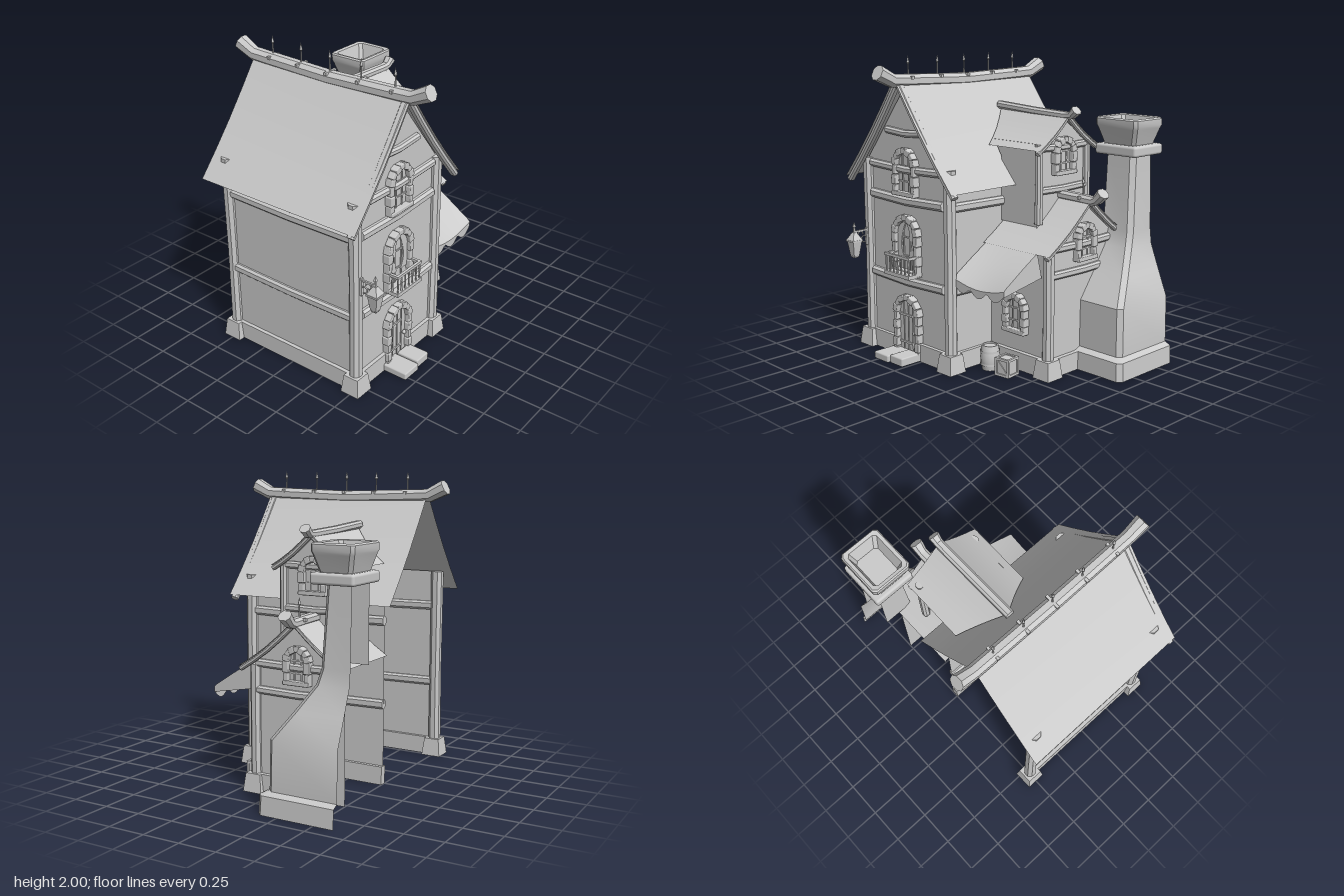
import * as THREE from 'three';
import { toCreasedNormals } from 'three/addons/utils/BufferGeometryUtils.js';
import { RoundedBoxGeometry } from 'three/addons/geometries/RoundedBoxGeometry.js';

const mat = new THREE.MeshStandardMaterial({ color: 0xcccccc, side: THREE.DoubleSide });
const V = (x, y, z) => new THREE.Vector3(x, y, z);
const RX = -0.385, WZ = -0.18; // main ridge x, wing ridge z

function add(parent, name, geo, x = 0, y = 0, z = 0) {
  const m = new THREE.Mesh(geo, mat);
  m.name = name;
  m.position.set(x, y, z);
  parent.add(m);
  return m;
}
const box = (p, name, w, h, d, x, y, z) => add(p, name, new THREE.BoxGeometry(w, h, d), x, y, z);

// Skin a row of equal cross-sections
function loft(rings, closed = true, caps = closed) {
  const pos = [], n = rings[0].length;
  const tri = (...v) => v.forEach(p => pos.push(p.x, p.y, p.z));
  for (let i = 0; i < rings.length - 1; i++)
    for (let j = 0; j < (closed ? n : n - 1); j++) {
      const a = rings[i][j], b = rings[i][(j + 1) % n], c = rings[i + 1][(j + 1) % n], d = rings[i + 1][j];
      tri(a, b, c); tri(a, c, d);
    }
  if (caps) for (let j = 1; j < n - 1; j++) {
    const s = rings[0], e = rings[rings.length - 1];
    tri(s[0], s[j + 1], s[j]); tri(e[0], e[j], e[j + 1]);
  }
  const g = new THREE.BufferGeometry();
  g.setAttribute('position', new THREE.Float32BufferAttribute(pos, 3));
  return toCreasedNormals(g, 0.6);
}

// Chamfered beam along points; w is measured along `side`, h across it
function sweep(pts, w, h, side = [0, 0, 1], scale = () => 1) {
  const P = pts.map(p => V(...p)), S = V(...side), c = 0.28 * Math.min(w, h), a = w / 2, b = h / 2;
  const sec = [[a, b - c], [a - c, b], [c - a, b], [-a, b - c], [-a, c - b], [c - a, -b], [a - c, -b], [a, c - b]];
  return loft(P.map((p, i) => {
    const T = P[Math.min(i + 1, P.length - 1)].clone().sub(P[Math.max(i - 1, 0)]).normalize();
    const N = S.clone().cross(T).normalize(), k = scale(i);
    return sec.map(([u, v]) => p.clone().addScaledVector(S, u * k).addScaledVector(N, v * k));
  }));
}

function wall(parent, name, pts, x, y, z, ry = 0) {
  const s = new THREE.Shape(pts.map(p => new THREE.Vector2(...p)));
  add(parent, name, new THREE.ShapeGeometry(s), x, y, z).rotation.y = ry;
}

// Slightly hollow roof slope, as [offset, y] from ridge to eave
const slope = (half, top, eave, sag) => [0, 0.25, 0.5, 0.75, 1].map(t =>
  [half * t, top + (eave - top) * t - sag * Math.sin(Math.PI * t)]);

function post(parent, name, x, z, y0, y1, w, base) {
  add(parent, name, sweep([[x, y0, z], [x + 0.004, (y0 + y1) / 2, z], [x, y1, z]], w, w, [0, 0, 1], i => i === 1 ? 0.94 : 1));
  if (base) {
    const g = new THREE.CylinderGeometry(0.075, 0.095, 0.12, 4, 1).rotateY(Math.PI / 4);
    add(parent, name + 'Base', toCreasedNormals(g, 0.5), x, 0.06, z);
  }
}

function finial(parent, x, y, z, ry = 0) {
  const g = new THREE.Group();
  g.name = 'finial'; g.position.set(x, y, z); g.rotation.y = ry;
  add(g, 'rod', new THREE.CylinderGeometry(0.004, 0.006, 0.11, 6), 0, 0.05, 0);
  add(g, 'spearHead', new THREE.CylinderGeometry(0, 0.012, 0.045, 4), 0, 0.12, 0);
  add(g, 'spearFoot', new THREE.CylinderGeometry(0.012, 0, 0.015, 4), 0, 0.09, 0);
  box(g, 'clamp', 0.1, 0.02, 0.018, 0, 0.005, 0);
  parent.add(g);
}

function archShape(w, h) {
  const s = new THREE.Shape();
  s.moveTo(-w, 0).lineTo(w, 0).lineTo(w, h - w).absarc(0, h - w, w, 0, Math.PI, false).lineTo(-w, 0);
  return s;
}

// Arched opening facing +z: stone surround, panel, bars and sill
function arch(parent, name, W, H, x, y, z, ry = 0, door = false) {
  const g = new THREE.Group(), t = 0.036, jamb = H - W, r = W - t / 2, n = Math.ceil(jamb / 0.075);
  g.name = name; g.position.set(x, y, z); g.rotation.y = ry;
  const stone = (l, px, py, rz, i) => {
    const m = add(g, 'surroundStone', new RoundedBoxGeometry(t + (i % 2) * 0.008, l * 0.96, 0.045 + (i % 2) * 0.008, 1, 0.006), px, py, 0.02);
    m.rotation.z = rz;
  };
  for (const s of [-1, 1]) for (let i = 0; i < n; i++) stone(jamb / n, s * r, (i + 0.5) * jamb / n, 0, i);
  for (let i = 0; i < 7; i++) {
    const a = (i + 0.5) * Math.PI / 7;
    stone(Math.PI * r / 7 + 0.006, r * Math.cos(a), jamb + r * Math.sin(a), a, i + 1);
  }
  add(g, door ? 'doorLeaf' : 'windowPane', new THREE.ExtrudeGeometry(archShape(W - t, H - t), { depth: 0.012, bevelEnabled: false, curveSegments: 10 }));
  const top = u => jamb + Math.sqrt(Math.max(0, (W - t) ** 2 - u * u));
  const cols = door ? [-0.045, 0, 0.045] : [-W * 0.27, W * 0.27];
  for (const u of cols) box(g, door ? 'plankEdge' : 'glazingBar', door ? 0.004 : 0.01, top(u), 0.01, u, top(u) / 2, 0.014);
  if (door) {
    for (const v of [0.1, 0.29]) box(g, 'hingeStrap', 0.13, 0.014, 0.008, -0.02, v, 0.018);
    add(g, 'doorKnob', new THREE.SphereGeometry(0.014, 10, 8), 0.068, 0.18, 0.025);
  } else {
    for (const v of [0.3, 0.62]) box(g, 'glazingBar', 2 * (W - t), 0.01, 0.01, 0, H * v, 0.014);
    add(g, 'sill', new RoundedBoxGeometry(2 * W, 0.028, 0.055, 1, 0.006), 0, 0.012, 0.024);
  }
  parent.add(g);
  return g;
}

export function createModel() {
  const model = new THREE.Group();
  const group = name => { const g = new THREE.Group(); g.name = name; model.add(g); return g; };

  // Main house, open at the back
  const house = group('mainHouse');
  wall(house, 'frontWall', [[-0.8, 0], [0.03, 0], [0.03, 1.3], [RX, 1.82], [-0.8, 1.3]], 0, 0, 0.5);
  for (const x of [-0.79, 0.02]) {
    wall(house, 'sideWall', [[-0.5, 0], [0.5, 0], [0.5, 1.31], [-0.5, 1.31]], x, 0, 0, Math.PI / 2);
    for (const y of [0.53, 1.07]) add(house, 'sideBeam', sweep([[x, y, -0.5], [x, y - 0.008, 0], [x, y, 0.5]], 0.05, 0.06, [1, 0, 0]));
    box(house, 'sidePlinth', 0.05, 0.12, 1, x, 0.06, 0);
    post(house, 'cornerPost', x, 0.5, 0, 1.31, 0.078, true);
  }
  post(house, 'cornerPost', -0.79, -0.5, 0, 1.31, 0.078, true);
  for (const s of [-1, 1]) box(house, 'frontPlinth', 0.27, 0.12, 0.05, RX + s * 0.265, 0.06, 0.5);
  for (const [y, half, h] of [[0.53, 0.36, 0.06], [1.07, 0.36, 0.06], [1.275, 0.36, 0.05], [1.51, 0.19, 0.045]])
    add(house, 'frontBeam', sweep([[RX - half, y + 0.005, 0.505], [RX, y - 0.008, 0.505], [RX + half, y + 0.005, 0.505]], 0.055, h));

  // Main roof, bargeboards, ridge and finials
  const main = slope(0.535, 1.86, 1.18, 0.022);
  for (const s of [-1, 1]) {
    add(house, 'roofSlope', loft([-0.6, 0.6].map(z => main.map(([o, y]) => V(RX + s * o, y, z))), false));
    add(house, 'bargeboard', sweep(main.map(([o, y]) => [RX + s * o * 0.985, y - 0.025, 0.565]), 0.05, 0.04));
  }
  add(house, 'ridgeLog', sweep([[RX, 1.9, -0.725], [RX, 1.845, -0.61], [RX, 1.84, -0.5], [RX, 1.825, 0], [RX, 1.84, 0.5], [RX, 1.845, 0.61], [RX, 1.9, 0.725]],
    0.085, 0.085, [1, 0, 0], i => i % 6 ? 1 : 1.12));
  for (const z of [0.48, 0.235, 0, -0.225, -0.455]) finial(house, RX, 1.855, z);

  // Front openings
  arch(house, 'atticWindow', 0.112, 0.31, RX, 1.1, 0.5);
  const mid = arch(house, 'balconyWindow', 0.127, 0.39, RX, 0.58, 0.5);
  for (const s of [-1, 1]) {
    const c = new THREE.Shape();
    c.moveTo(s * 0.085, 0.1).lineTo(s * 0.02, 0.1).quadraticCurveTo(s * 0.055, 0.17, s * 0.05, 0.2)
      .quadraticCurveTo(s * 0.035, 0.3, 0, 0.345).quadraticCurveTo(s * 0.08, 0.34, s * 0.088, 0.26).lineTo(s * 0.085, 0.1);
    add(mid, 'curtain', new THREE.ExtrudeGeometry(c, { depth: 0.012, bevelEnabled: false }), 0, 0, 0.01);
  }
  const balcony = group('balcony');
  box(balcony, 'balconyFloor', 0.25, 0.025, 0.11, RX, 0.585, 0.555);
  box(balcony, 'frontRail', 0.25, 0.018, 0.018, RX, 0.71, 0.6);
  for (let i = 0; i < 7; i++) add(balcony, 'baluster', new THREE.CylinderGeometry(0.006, 0.006, 0.12, 6), RX - 0.114 + i * 0.038, 0.65, 0.6);
  for (const s of [-1, 1]) {
    box(balcony, 'sideRail', 0.018, 0.018, 0.1, RX + s * 0.116, 0.71, 0.55);
    add(balcony, 'baluster', new THREE.CylinderGeometry(0.006, 0.006, 0.12, 6), RX + s * 0.114, 0.65, 0.56);
  }
  arch(house, 'frontDoor', 0.127, 0.43, RX, 0, 0.5, 0, true);
  add(house, 'doorStep', new RoundedBoxGeometry(0.145, 0.05, 0.19, 1, 0.01), -0.462, 0.025, 0.6);
  add(house, 'doorStep', new RoundedBoxGeometry(0.125, 0.058, 0.16, 1, 0.01), -0.322, 0.029, 0.6);

  // Gabled side parts: the lower wing and the dormer above it
  const mainRoofX = y => RX + (1.86 - y) / 1.27;
  const gable = (g, front, back, inner, edge, wallX) => {
    [[1, front], [-1, back]].forEach(([s, prof]) => {
      const row = f => prof.map(([o, y]) => V(f(y), y, WZ + s * o));
      add(g, 'roofSlope', loft([row(inner), row(() => edge)], false));
      add(g, 'bargeboard', sweep(prof.map(([o, y]) => [edge - 0.025, y - 0.02, WZ + s * o * 0.985]), 0.035, 0.03, [1, 0, 0]));
    });
  };
  const wing = group('sideWing');
  gable(wing, slope(0.4, 1.12, 0.81, 0.02), slope(0.345, 1.12, 0.85, 0.015), () => 0.03, 0.605);
  wall(wing, 'endWall', [[-0.14, 0], [0.5, 0], [0.5, 0.83], [-WZ, 1.09], [-0.14, 0.83]], 0.53, 0, 0, Math.PI / 2);
  wall(wing, 'frontWall', [[0.02, 0], [0.53, 0], [0.53, 0.85], [0.02, 0.85]], 0, 0, 0.14);
  box(wing, 'frontPlinth', 0.5, 0.12, 0.04, 0.28, 0.06, 0.15);
  box(wing, 'endPlinth', 0.04, 0.12, 0.4, 0.54, 0.06, -0.06);
  post(wing, 'cornerPost', 0.525, 0.135, 0, 0.82, 0.072, true);
  for (const y of [0.66, 0.83]) add(wing, 'endBeam', sweep([[0.535, y, 0.12], [0.535, y - 0.006, WZ], [0.535, y, -0.45]], 0.045, 0.05, [1, 0, 0]));
  add(wing, 'ridgeLog', sweep([[0.3, 1.115, WZ], [0.5, 1.11, WZ], [0.61, 1.105, WZ], [0.64, 1.115, WZ], [0.69, 1.165, WZ]], 0.07, 0.06, [0, 0, 1], i => i === 4 ? 1.2 : 1));
  finial(wing, 0.525, 1.115, WZ, Math.PI / 2);
  arch(wing, 'wingEndWindow', 0.093, 0.24, 0.53, 0.72, WZ, Math.PI / 2);
  arch(wing, 'wingFrontWindow', 0.1, 0.26, 0.26, 0.245, 0.14);

  const dormer = group('dormer');
  const dp = slope(0.28, 1.64, 1.425, 0.015);
  gable(dormer, dp, dp, mainRoofX, 0.41);
  wall(dormer, 'endWall', [[-0.05, 0.9], [0.41, 0.9], [0.41, 1.45], [-WZ, 1.61], [-0.05, 1.45]], 0.34, 0, 0, Math.PI / 2);
  wall(dormer, 'sideWall', [[0.02, 0.93], [0.34, 0.93], [0.34, 1.46], [-0.05, 1.46], [0.02, 1.35]], 0, 0, 0.045);
  for (const z of [0.04, -0.41]) post(dormer, 'cornerPost', 0.345, z, 0.95, 1.46, 0.05, false);
  for (const y of [1.16, 1.43]) add(dormer, 'endBeam', sweep([[0.345, y, 0.04], [0.345, y - 0.006, WZ], [0.345, y, -0.41]], 0.04, 0.045, [1, 0, 0]));
  add(dormer, 'ridgeLog', sweep([[-0.225, 1.655, WZ], [0.1, 1.635, WZ], [0.38, 1.625, WZ], [0.42, 1.63, WZ], [0.46, 1.665, WZ]], 0.058, 0.05, [0, 0, 1], i => i === 4 ? 1.2 : 1));
  arch(dormer, 'dormerWindow', 0.097, 0.24, 0.34, 1.25, WZ, Math.PI / 2);

  // Cloth awning with a scalloped hem
  const awning = [];
  for (let i = 0; i <= 32; i++) {
    const t = i / 32, x = 0.04 + 0.45 * t, sag = 0.035 * Math.sin(Math.PI * t);
    awning.push([[0.815, 0.2], [0.735 - sag * 0.4, 0.33], [0.64 - sag, 0.475], [0.625 - sag, 0.49],
      [0.595 - sag * 0.4 - 0.045 * Math.abs(Math.sin(3 * Math.PI * t)), 0.49]].map(([y, z]) => V(x, y, z)));
  }
  add(wing, 'awning', loft(awning, false));
  wall(wing, 'awningSide', [[-0.2, 0.815], [-0.33, 0.735], [-0.475, 0.64], [-0.49, 0.625], [-0.49, 0.59], [-0.16, 0.65]], 0.49, 0, 0, Math.PI / 2);

  // Chimney stack (open at the back), collar and hollow pot
  const chimney = group('chimney');
  const levels = [[0, 0.91, -0.11], [0.12, 0.905, -0.115], [0.14, 0.865, -0.16], [0.45, 0.86, -0.165], [0.62, 0.79, -0.29],
    [0.78, 0.727, -0.4], [0.88, 0.715, -0.43], [1.38, 0.7, -0.46]];
  add(chimney, 'stack', loft(levels.map(([y, x, z]) =>
    [V(x, y, -0.635), V(x, y, z - 0.03), V(x - 0.03, y, z), V(y < 0.85 ? 0.53 : 0.49, y, z)]), false));
  add(chimney, 'stackInnerSide', loft(levels.slice(6).map(([y, , z]) => [V(0.49, y, z), V(0.49, y, -0.635)]), false));
  add(chimney, 'collar', new RoundedBoxGeometry(0.33, 0.07, 0.29, 2, 0.018), 0.6, 1.405, -0.535);
  const ring = (y, a, b) => [[a, b - 0.02], [a - 0.02, b], [0.02 - a, b], [-a, b - 0.02], [-a, 0.02 - b], [0.02 - a, -b], [a - 0.02, -b], [a, 0.02 - b]]
    .map(([x, z]) => V(0.597 + x, y, -0.535 + z));
  add(chimney, 'pot', loft([ring(1.43, 0.125, 0.105), ring(1.54, 0.16, 0.135), ring(1.56, 0.168, 0.143), ring(1.6, 0.168, 0.143),
    ring(1.61, 0.16, 0.135), ring(1.605, 0.138, 0.112), ring(1.5, 0.11, 0.085)]));

  // Hanging lantern on a scroll bracket
  const lantern = group('lantern');
  const four = (name, a, b, h, y) => add(lantern, name, toCreasedNormals(new THREE.CylinderGeometry(a, b, h, 4).rotateY(Math.PI / 4), 0.5), -0.785, y, 0.645);
  four('lampBody', 0.05, 0.03, 0.1, 0.7);
  four('lampBase', 0.032, 0.022, 0.015, 0.645);
  four('lampRim', 0.058, 0.058, 0.012, 0.755);
  four('lampRoof', 0.016, 0.055, 0.05, 0.785);
  four('lampSpike', 0.004, 0.012, 0.05, 0.83);
  four('lampTip', 0, 0.014, 0.035, 0.865);
  box(lantern, 'bracketArm', 0.012, 0.012, 0.12, -0.785, 0.815, 0.585);
  box(lantern, 'bracketPlate', 0.02, 0.12, 0.012, -0.785, 0.77, 0.543);
  for (const [y, z, r] of [[0.79, 0.595, 0.02], [0.755, 0.565, 0.022]])
    add(lantern, 'bracketScroll', new THREE.TorusGeometry(r, 0.005, 6, 16, Math.PI * 1.6), -0.785, y, z).rotation.y = Math.PI / 2;

  // Barrel and crate
  const yard = group('yardGoods');
  const staves = [[0, 0], [0.053, 0], [0.061, 0.05], [0.065, 0.083], [0.061, 0.12], [0.053, 0.165], [0.045, 0.165], [0.045, 0.155], [0, 0.155]];
  add(yard, 'barrel', toCreasedNormals(new THREE.LatheGeometry(staves.map(p => new THREE.Vector2(...p)), 16), 0.6), 0.152, 0, 0.28);
  for (const y of [0.04, 0.125]) add(yard, 'barrelHoop', new THREE.CylinderGeometry(0.065, 0.065, 0.014, 16, 1, true), 0.152, y, 0.28);
  const crate = new THREE.Group();
  crate.name = 'crate'; crate.position.set(0.305, 0.06, 0.28); crate.rotation.y = 0.12;
  box(crate, 'crateCore', 0.095, 0.105, 0.095, 0, 0, 0);
  for (const a of [-1, 1]) for (const b of [-1, 1]) {
    box(crate, 'crateSlat', 0.11, 0.016, 0.016, 0, a * 0.052, b * 0.047);
    box(crate, 'crateSlat', 0.016, 0.12, 0.016, a * 0.047, 0, b * 0.047);
    box(crate, 'crateSlat', 0.016, 0.016, 0.11, a * 0.047, b * 0.052, 0);
  }
  for (const s of [-1, 1]) box(crate, 'crateBrace', 0.012, 0.13, 0.008, 0, 0, s * 0.049).rotation.z = 0.75;
  yard.add(crate);
  return model;
}
